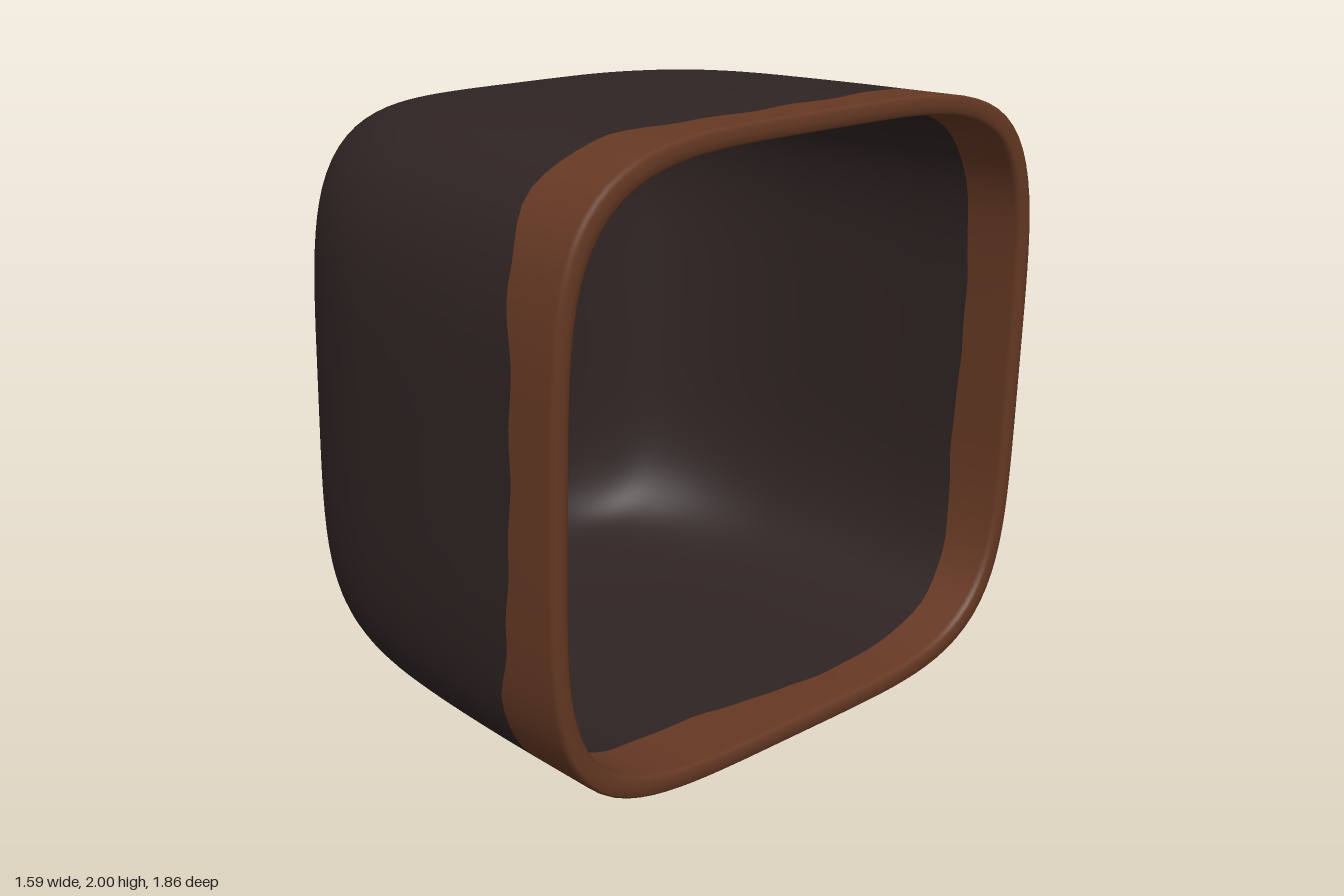
import * as THREE from 'three';

const mat = (name, color, extra = {}) => {
  const m = new THREE.MeshStandardMaterial({ color, ...extra });
  m.name = name;
  return m;
};

const K = 144;          // points around each cross-section
const CY = 1.1;         // height of the shell's axis
const LEAN = 0.02;      // slight forward lean of the mouth
const POWER = 4.5;      // squareness of the cross-section

// Point on a rounded-square ring: half-width w along z, half-height h along y
function ringPoint(a, [x, w, h]) {
  const c = Math.cos(a), s = Math.sin(a);
  const r = 1 / Math.pow(Math.abs(c) ** POWER + Math.abs(s) ** POWER, 1 / POWER);
  const dy = h * r * s;
  return [x + LEAN * dy, CY + dy, w * r * c];
}

// Wavy edge of the bare clay band, x at equal angles around the mouth
const EDGE = [
  .60, .60, .60, .565, .53, .55, .62, .64, .625, .63, .60, .56, .53, .545, .56, .565,
  .56, .57, .57, .56, .54, .57, .62, .64, .64, .65, .62, .57, .515, .53, .58, .59];
function edgeX(a) {
  const t = (a / (Math.PI * 2)) * EDGE.length;
  const i = Math.floor(t), f = t - i, g = f * f * (3 - 2 * f);
  const n = EDGE.length;
  return EDGE[i % n] * (1 - g) + EDGE[(i + 1) % n] * g + 0.004 * Math.sin(23 * a);
}

function shellGeometry() {
  // Profile from the closed back towards the mouth: x, half-width, half-height
  const profile = [
    [-.79, 0, 0], [-.79, .06, .3], [-.788, .13, .46], [-.777, .22, .545], [-.75, .37, .645],
    [-.69, .53, .745], [-.6, .68, .81], [-.48, .77, .84], [-.33, .84, .862],
    [-.16, .885, .878], [0, .905, .886], [.2, .92, .891], [.4, .928, .895]];
  const curve = new THREE.CatmullRomCurve3(profile.map((p) => new THREE.Vector3(...p)));
  const pts = curve.getPoints(48).map((p) => [p.x, Math.max(p.y, 0), Math.max(p.z, 0)]);

  const outer = pts.map((p) => () => p);
  const lip = [
    (a) => [edgeX(a), .93, .897],
    ...[[.75, .932, .9], [.764, .93, .899], [.77, .923, .892], [.772, .905, .872],
      [.77, .89, .855], [.764, .882, .848], [.75, .88, .845]].map((p) => () => p),
    (a) => [edgeX(a + 0.5) * 0.5 + 0.3, .879, .844]];
  const inner = pts.map(([x, w, h]) => () => [x * .94, w * .946, h * .94]).reverse();
  const rows = [...outer, ...lip, ...inner];

  const pos = [], index = [];
  rows.forEach((row) => {
    for (let j = 0; j < K; j++) {
      const a = (j / K) * Math.PI * 2;
      pos.push(...ringPoint(a, row(a)));
    }
  });
  for (let i = 0; i < rows.length - 1; i++) {
    for (let j = 0; j < K; j++) {
      const k = (j + 1) % K;
      const p = i * K + j, q = (i + 1) * K + j, r = (i + 1) * K + k, s = i * K + k;
      index.push(p, q, r, p, r, s);
    }
  }
  const g = new THREE.BufferGeometry();
  g.setAttribute('position', new THREE.Float32BufferAttribute(pos, 3));
  g.setIndex(index);
  g.computeVertexNormals();

  // Glazed outside, bare lip, glazed inside
  const per = K * 6;
  const lipStart = outer.length * per, lipCount = (lip.length - 1) * per;
  g.addGroup(0, lipStart, 0);
  g.addGroup(lipStart, lipCount, 1);
  g.addGroup(lipStart + lipCount, index.length - lipStart - lipCount, 0);
  return g;
}

export function createModel() {
  const model = new THREE.Group();
  model.name = 'vessel';
  const glaze = mat('dark glaze', 0x2f2423);
  const clay = mat('bare brown clay', 0x663924);

  const shell = new THREE.Mesh(shellGeometry(), [glaze, clay]);
  shell.name = 'shell';
  model.add(shell);

  // Short round foot with a bevelled lower edge
  const foot = new THREE.Group();
  foot.name = 'foot';
  foot.position.x = -0.042;
  const wall = new THREE.Mesh(new THREE.CylinderGeometry(.284, .284, .238, 64, 1, true), glaze);
  wall.name = 'footWall';
  wall.position.y = .131;
  const bevel = new THREE.Mesh(new THREE.CylinderGeometry(.284, .264, .012, 64, 1, true), glaze);
  bevel.name = 'footBevel';
  bevel.position.y = .006;
  const base = new THREE.Mesh(new THREE.CircleGeometry(.264, 64), clay);
  base.name = 'footBase';
  base.rotation.x = Math.PI / 2;
  foot.add(wall, bevel, base);
  model.add(foot);

  return model;
}
